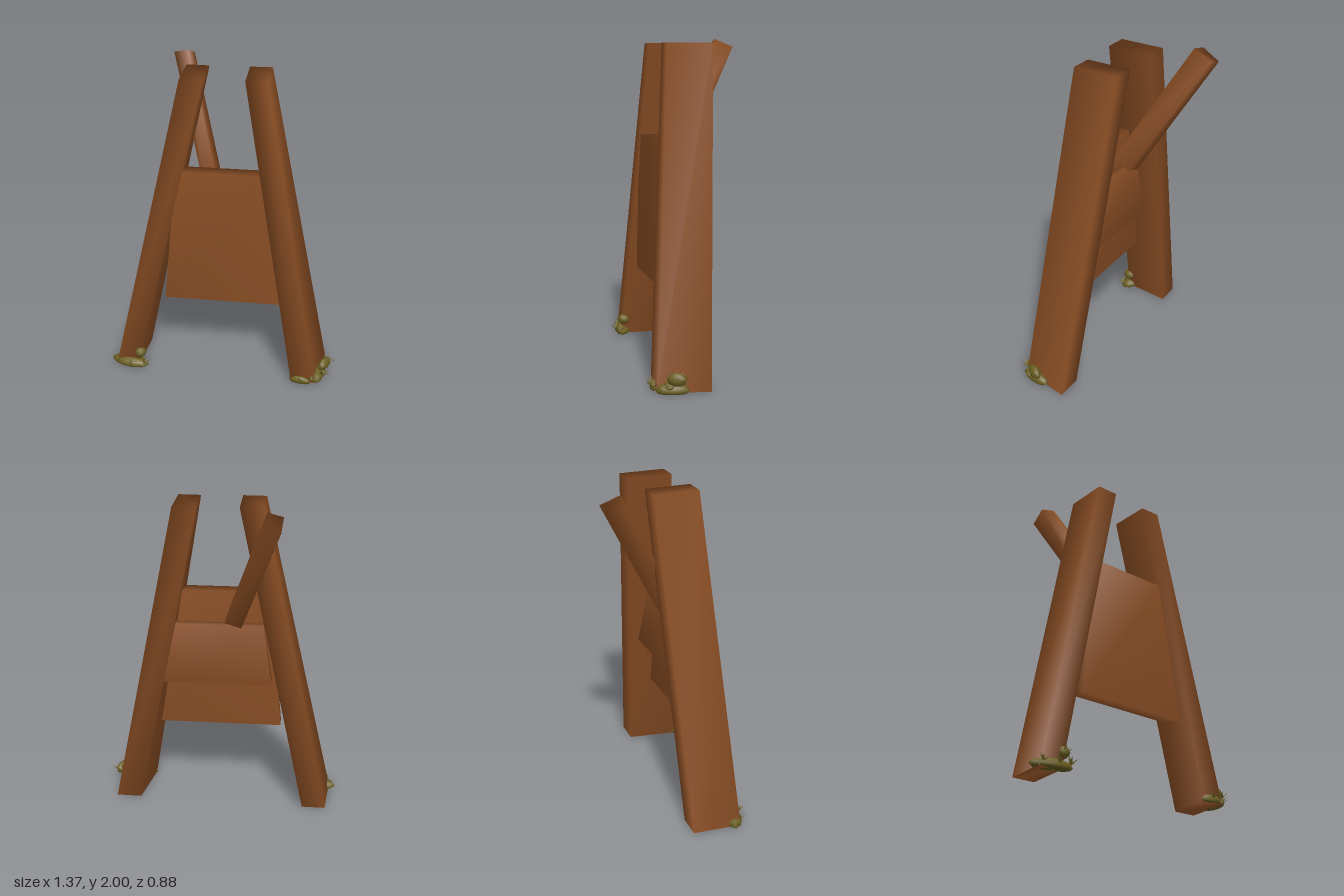
import * as THREE from 'three';
import { mergeGeometries } from 'three/addons/utils/BufferGeometryUtils.js';

const wood = new THREE.MeshStandardMaterial({ color: 0x8a4e24 });
wood.name = 'brown wood';
const moss = new THREE.MeshStandardMaterial({ color: 0x6b5f22, side: THREE.DoubleSide });
moss.name = 'olive moss';

// Solid beam between a lower and an upper four-cornered end, corners anticlockwise from above
function beam(name, lower, upper) {
  const geo = new THREE.BufferGeometry();
  geo.setAttribute('position', new THREE.Float32BufferAttribute([...lower, ...upper].flat(), 3));
  const index = [0, 2, 1, 0, 3, 2, 4, 5, 6, 4, 6, 7];
  for (let i = 0; i < 4; i++) {
    const j = (i + 1) % 4;
    index.push(i, j, j + 4, i, j + 4, i + 4);
  }
  geo.setIndex(index);
  geo.computeVertexNormals();
  const mesh = new THREE.Mesh(geo, wood);
  mesh.name = name;
  return mesh;
}

const level = (y, corners) => corners.map(([x, z]) => [x, y, z]);

// Board corners along the slanted line of the wall, between two depths behind its front
function boardEnd(y, x0, x1, front, back) {
  const at = (x, d) => [x - 0.455 * d, y, 0.0275 - 0.51 * x - 0.89 * d];
  return [at(x0, front), at(x1, front), at(x1, back), at(x0, back)];
}

// Low mound of moss
function mound(name, x, y, z, rx, ry, rz, turn = 0) {
  const mesh = new THREE.Mesh(new THREE.SphereGeometry(1, 10, 6), moss);
  mesh.name = name;
  mesh.position.set(x, y, z);
  mesh.scale.set(rx, ry, rz);
  mesh.rotation.y = turn;
  return mesh;
}

// Cluster of short pointed leaves spreading from a centre
function tuft(name, x, y, z, size, count) {
  const leaves = [];
  for (let i = 0; i < count; i++) {
    const leaf = new THREE.ConeGeometry(size * 0.22, size, 3);
    leaf.scale(1, 1, 0.35);
    leaf.translate(0, size * 0.5, 0);
    leaf.rotateX(0.75 + 0.4 * Math.sin(i * 2.3));
    leaf.rotateY(i * 2.4);
    leaves.push(leaf);
  }
  const mesh = new THREE.Mesh(mergeGeometries(leaves), moss);
  mesh.name = name;
  mesh.position.set(x, y, z);
  return mesh;
}

export function createModel() {
  const model = new THREE.Group();
  model.name = 'woodenFrame';

  // Leaning posts
  model.add(beam('rightPost',
    level(0, [[-0.695, 0.125], [-0.59, 0.4], [-0.46, 0.335], [-0.565, 0.06]]),
    level(1.97, [[-0.36, -0.13], [-0.235, 0.115], [-0.11, 0.055], [-0.235, -0.19]])));
  model.add(beam('leftPost',
    level(0, [[0.38, -0.385], [0.47, -0.085], [0.605, -0.155], [0.52, -0.455]]),
    level(1.97, [[-0.025, -0.31], [0.1, -0.068], [0.22, -0.125], [0.095, -0.375]])));

  // Loose diagonal pole
  const poleTop = [[-0.59, 1.92, -0.36], [-0.55, 1.98, -0.26], [-0.465, 2, -0.29], [-0.5, 1.95, -0.405]];
  const poleFoot = poleTop.map(([x, y, z]) => [x + 0.38, y - 0.7, z + 0.24]);
  model.add(beam('diagonalPole', poleFoot, poleTop));

  // Wall panel and the thicker board behind it
  model.add(beam('wallPanel',
    boardEnd(0.51, -0.325, 0.35, 0, 0.09), boardEnd(1.4, -0.25, 0.22, 0, 0.09)));
  model.add(beam('backBoard',
    boardEnd(0.83, -0.27, 0.33, 0.07, 0.185), boardEnd(1.2, -0.22, 0.28, 0.07, 0.14)));

  // Moss and leaves at the feet
  const feet = new THREE.Group();
  feet.name = 'footMoss';
  feet.add(
    mound('rightMoss', -0.52, 0.015, 0.345, 0.13, 0.04, 0.055, 0.25),
    mound('rightMossKnob', -0.45, 0.1, 0.32, 0.035, 0.035, 0.04),
    mound('leftMoss', 0.585, 0.015, -0.24, 0.04, 0.045, 0.1, 0.25),
    mound('leftMossKnob', 0.61, 0.09, -0.27, 0.03, 0.04, 0.06),
    mound('leftFrontMoss', 0.52, 0.015, -0.11, 0.07, 0.03, 0.02, 0.3));
  const tufts = [
    [-0.45, 0.08, 0.33, 0.06, 9], [-0.41, 0.03, 0.33, 0.05, 6],
    [-0.48, 0.02, 0.38, 0.05, 6], [-0.57, 0.02, 0.39, 0.05, 6],
    [0.61, 0.08, -0.3, 0.06, 9], [0.62, 0.03, -0.23, 0.06, 9],
    [0.59, 0.03, -0.13, 0.05, 7], [0.53, 0.02, -0.1, 0.05, 6]];
  tufts.forEach((t, i) => feet.add(tuft('leafTuft' + (i + 1), ...t)));
  // Keep the moss above the ground
  feet.traverse((o) => {
    if (!o.isMesh) return;
    const p = o.geometry.attributes.position;
    for (let i = 0; i < p.count; i++) {
      p.setY(i, Math.max(p.getY(i), -o.position.y / o.scale.y));
    }
    o.geometry.computeVertexNormals();
  });
  model.add(feet);
  return model;
}
